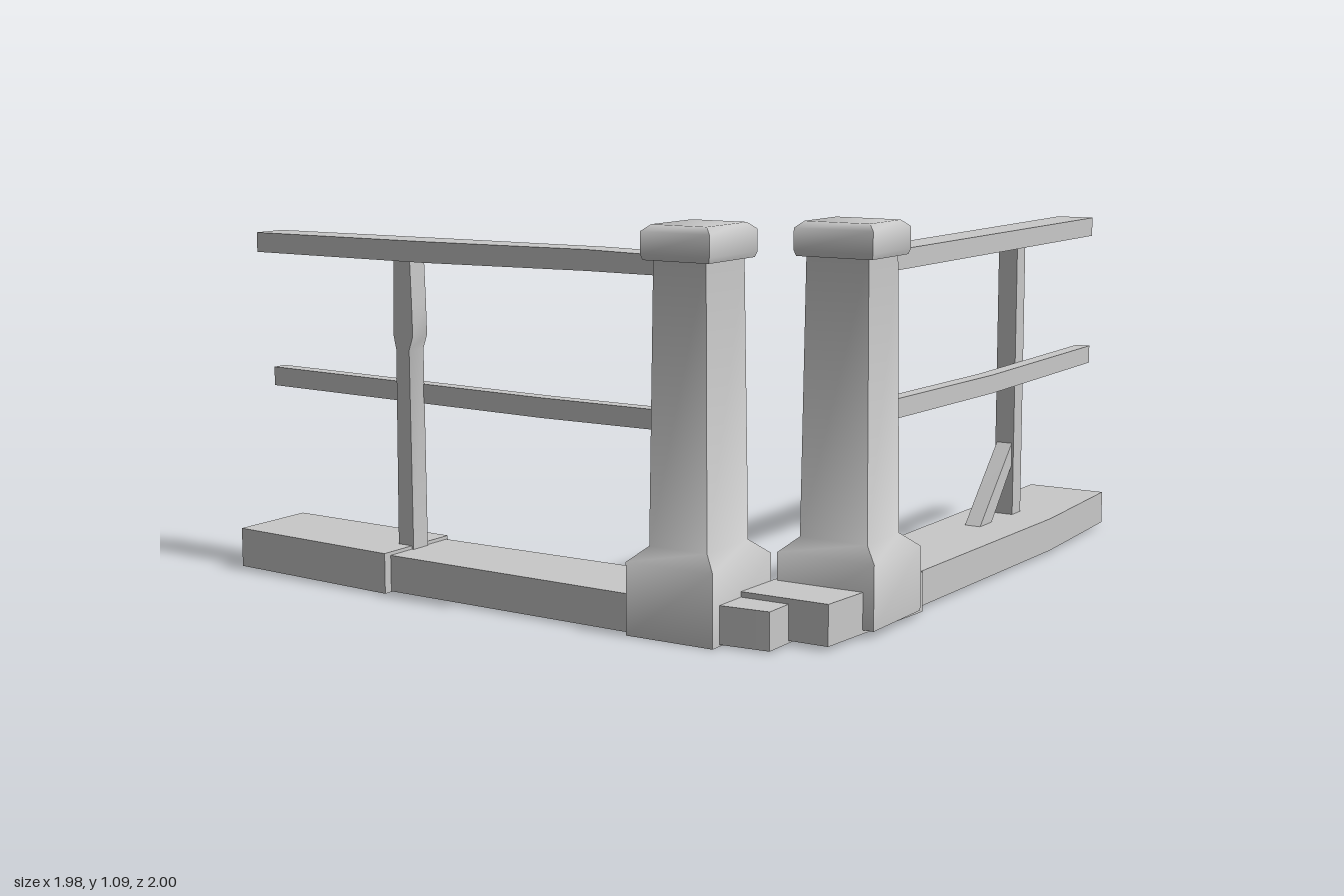
import * as THREE from 'three';
import { toCreasedNormals } from 'three/addons/utils/BufferGeometryUtils.js';

const stone = new THREE.MeshStandardMaterial({ color: 0xc8c8c8 });
stone.name = 'light grey';

// Where the two cross-section axes (a, b) and the length t go, all right-handed
const place = {
  x: (a, b, t) => [t, a, b], // a = y, b = z
  y: (a, b, t) => [b, t, a], // a = z, b = x
  z: (a, b, t) => [a, b, t], // a = x, b = y
};

// Solid through rectangular stations [t, a0, a1, b0, b1], t increasing;
// bends gentler than the crease angle are shaded smoothly
function beam(name, axis, stations, crease = 0.9) {
  const rings = stations.map(([t, a0, a1, b0, b1]) =>
    [[a0, b0], [a1, b0], [a1, b1], [a0, b1]].map(([a, b]) => place[axis](a, b, t)));
  const pos = [];
  const quad = (a, b, c, d) => pos.push(...a, ...b, ...c, ...a, ...c, ...d);
  for (let k = 0; k + 1 < rings.length; k++) {
    for (let i = 0; i < 4; i++) {
      const j = (i + 1) % 4;
      quad(rings[k][i], rings[k][j], rings[k + 1][j], rings[k + 1][i]);
    }
  }
  const first = rings[0], last = rings[rings.length - 1];
  quad(first[3], first[2], first[1], first[0]);
  quad(last[0], last[1], last[2], last[3]);
  const geo = new THREE.BufferGeometry();
  geo.setAttribute('position', new THREE.Float32BufferAttribute(pos, 3));
  const mesh = new THREE.Mesh(toCreasedNormals(geo, crease), stone);
  mesh.name = name;
  return mesh;
}

// Thick corner post: flared foot, tapering shaft and bevelled cap
function cornerPost(name, x0, x1, z0, z1, bottom) {
  const at = (y, inset) => [y, z0 + inset, z1 - inset, x0 + inset, x1 - inset];
  const post = new THREE.Group();
  post.name = name;
  post.add(
    beam('postBody', 'y', [at(bottom, 0), at(0.2, 0), at(0.24, 0.045), at(1.01, 0.054)]),
    beam('postCap', 'y', [at(1.0, 0.034), at(1.015, 0.029), at(1.075, 0.029), at(1.093, 0.05)]),
  );
  return post;
}

export function createModel() {
  const model = new THREE.Group();
  model.name = 'cornerFence';

  // Front run, along x
  const front = new THREE.Group();
  front.name = 'frontRun';
  front.add(
    cornerPost('frontPost', 0.415, 0.685, 0.7, 1.0, 0),
    beam('frontSill', 'x', [
      [-0.43, 0.005, 0.11, 0.705, 0.96],
      [0.4, 0.005, 0.11, 0.71, 0.985],
      [0.83, 0.005, 0.11, 0.71, 0.955],
    ]),
    beam('frontSillEnd', 'x', [
      [-0.99, 0.01, 0.125, 0.692, 0.962],
      [-0.42, 0.003, 0.12, 0.698, 0.987],
    ]),
    beam('frontTopRail', 'x', [
      [-0.99, 0.945, 1.003, 0.755, 0.863],
      [-0.35, 0.946, 1.006, 0.76, 0.882],
      [0.2, 0.95, 1.008, 0.765, 0.862],
      [0.5, 0.95, 1.003, 0.765, 0.868],
    ]),
    beam('frontMidRail', 'x', [
      [-0.99, 0.537, 0.593, 0.755, 0.802],
      [0, 0.523, 0.58, 0.76, 0.805],
      [0.5, 0.523, 0.578, 0.76, 0.805],
    ]),
    beam('frontBaluster', 'y', [
      [0.1, 0.8, 0.865, -0.468, -0.413],
      [0.69, 0.8, 0.865, -0.464, -0.417],
      [0.73, 0.8, 0.865, -0.473, -0.403],
      [0.82, 0.8, 0.865, -0.471, -0.405],
      [0.96, 0.8, 0.865, -0.467, -0.41],
    ]),
  );

  // Side run, along z
  const side = new THREE.Group();
  side.name = 'sideRun';
  side.add(
    cornerPost('sidePost', 0.695, 0.99, 0.41, 0.685, 0.02),
    beam('sideSill', 'z', [
      [-1, 0.695, 0.945, 0.01, 0.11],
      [-0.52, 0.695, 0.972, 0.01, 0.11],
      [0.4, 0.695, 0.952, 0.01, 0.11],
    ]),
    beam('sideSillEnd', 'z', [
      [0.365, 0.682, 0.975, 0.005, 0.118],
      [0.857, 0.685, 0.948, 0.012, 0.125],
    ]),
    beam('sideTopRail', 'z', [
      [-1, 0.772, 0.888, 0.945, 1.003],
      [0.5, 0.785, 0.888, 0.947, 1.003],
    ]),
    beam('sideMidRail', 'z', [
      [-0.995, 0.845, 0.89, 0.533, 0.588],
      [-0.25, 0.845, 0.89, 0.528, 0.583],
      [0.5, 0.845, 0.89, 0.54, 0.595],
    ]),
    beam('sideBaluster', 'y', [
      [0.1, -0.572, -0.512, 0.785, 0.846],
      [0.96, -0.57, -0.512, 0.785, 0.846],
    ]),
    // Diagonal brace, cut upright where it meets the baluster
    beam('sideBrace', 'z', [
      [-0.52, 0.79, 0.84, 0.272, 0.342],
      [-0.37, 0.79, 0.84, 0.105, 0.19],
      [-0.29, 0.79, 0.84, 0.1, 0.108],
    ], 0.2),
  );

  model.add(front, side);
  return model;
}
